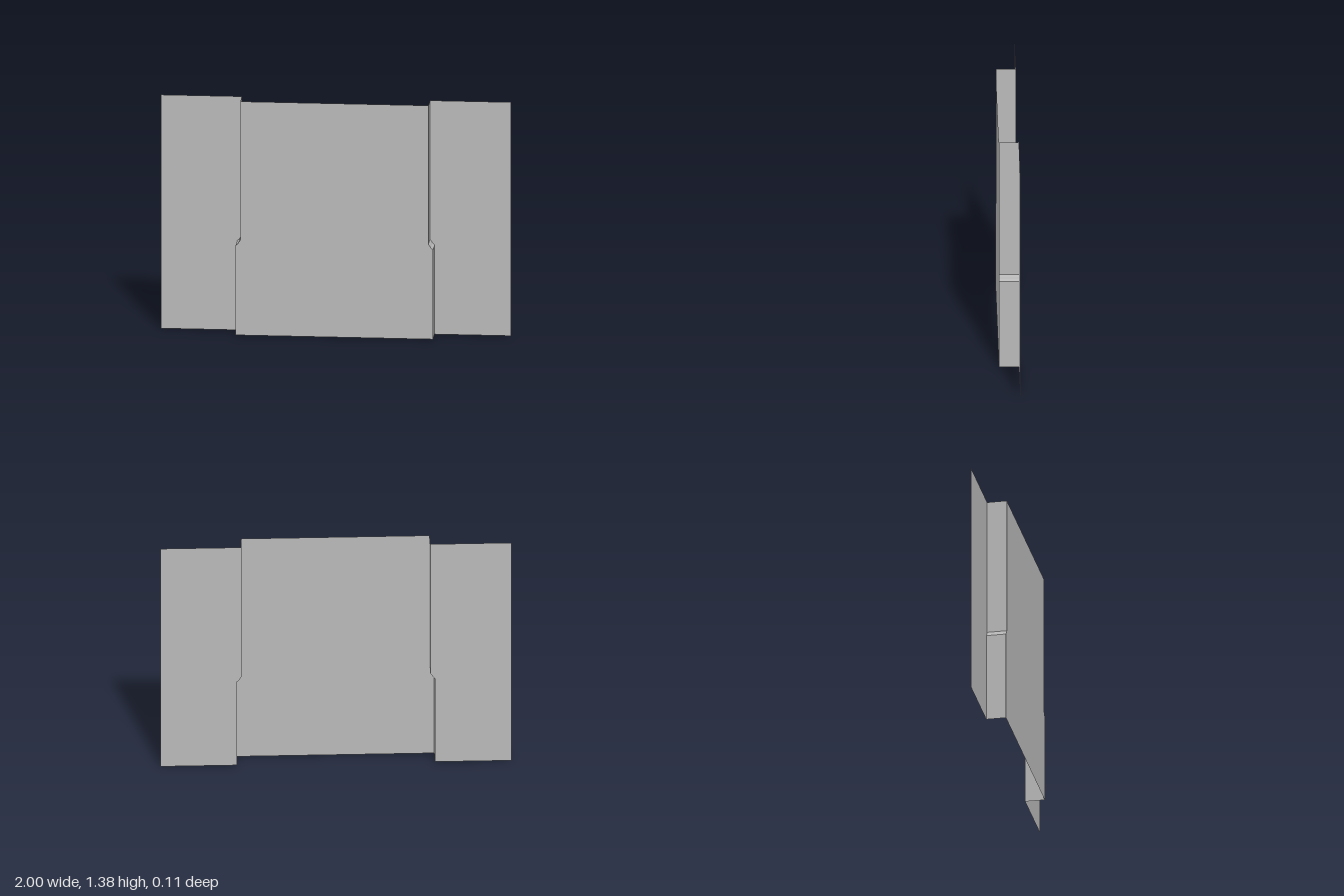
import * as THREE from 'three';

const HEIGHT = 1.375, HALF_WIDTH = 1, DEPTH = 0.057;

// Edge of the projecting centre panel, from the floor up, as [x, y]
const PROFILE = [
  [0.564, 0], [0.564, 0.526], [0.551, 0.538],
  [0.546, 0.547], [0.537, 0.559], [0.537, HEIGHT],
];
const BANDS = ['lower', 'lowerBevel', 'middleBevel', 'upperBevel', 'upper'];

const plaster = new THREE.MeshStandardMaterial({ color: 0xb8b8b8, side: THREE.DoubleSide });
plaster.name = 'plaster grey';

// Flat four-cornered sheet, corners counter-clockwise as seen from its face
function sheet(name, corners) {
  const geometry = new THREE.BufferGeometry();
  geometry.setAttribute('position', new THREE.Float32BufferAttribute(corners.flat(), 3));
  geometry.setIndex([0, 1, 2, 0, 2, 3]);
  geometry.computeVertexNormals();
  const mesh = new THREE.Mesh(geometry, plaster);
  mesh.name = name;
  return mesh;
}

export function createModel() {
  const model = new THREE.Group();
  model.name = 'steppedWall';

  // Projecting centre panel, wider below the ledge
  const outline = [...PROFILE, ...PROFILE.map(([x, y]) => [-x, y]).reverse()];
  const shape = new THREE.Shape(outline.map(([x, y]) => new THREE.Vector2(x, y)));
  const centre = new THREE.Mesh(new THREE.ShapeGeometry(shape), plaster);
  centre.name = 'centrePanel';
  centre.position.z = DEPTH;
  model.add(centre);

  // Recessed side walls and the returns joining them to the centre panel
  for (const side of [1, -1]) {
    const half = new THREE.Group();
    half.name = side > 0 ? 'leftSide' : 'rightSide';
    BANDS.forEach((band, i) => {
      const [x0, y0] = PROFILE[i], [x1, y1] = PROFILE[i + 1];
      const wall = [
        [side * x0, y0, -DEPTH], [side * HALF_WIDTH, y0, -DEPTH],
        [side * HALF_WIDTH, y1, -DEPTH], [side * x1, y1, -DEPTH],
      ];
      const joint = [
        [side * x0, y0, DEPTH], [side * x0, y0, -DEPTH],
        [side * x1, y1, -DEPTH], [side * x1, y1, DEPTH],
      ];
      if (side < 0) { wall.reverse(); joint.reverse(); }
      half.add(sheet(band + 'Wall', wall), sheet(band + 'Return', joint));
    });
    model.add(half);
  }
  return model;
}
